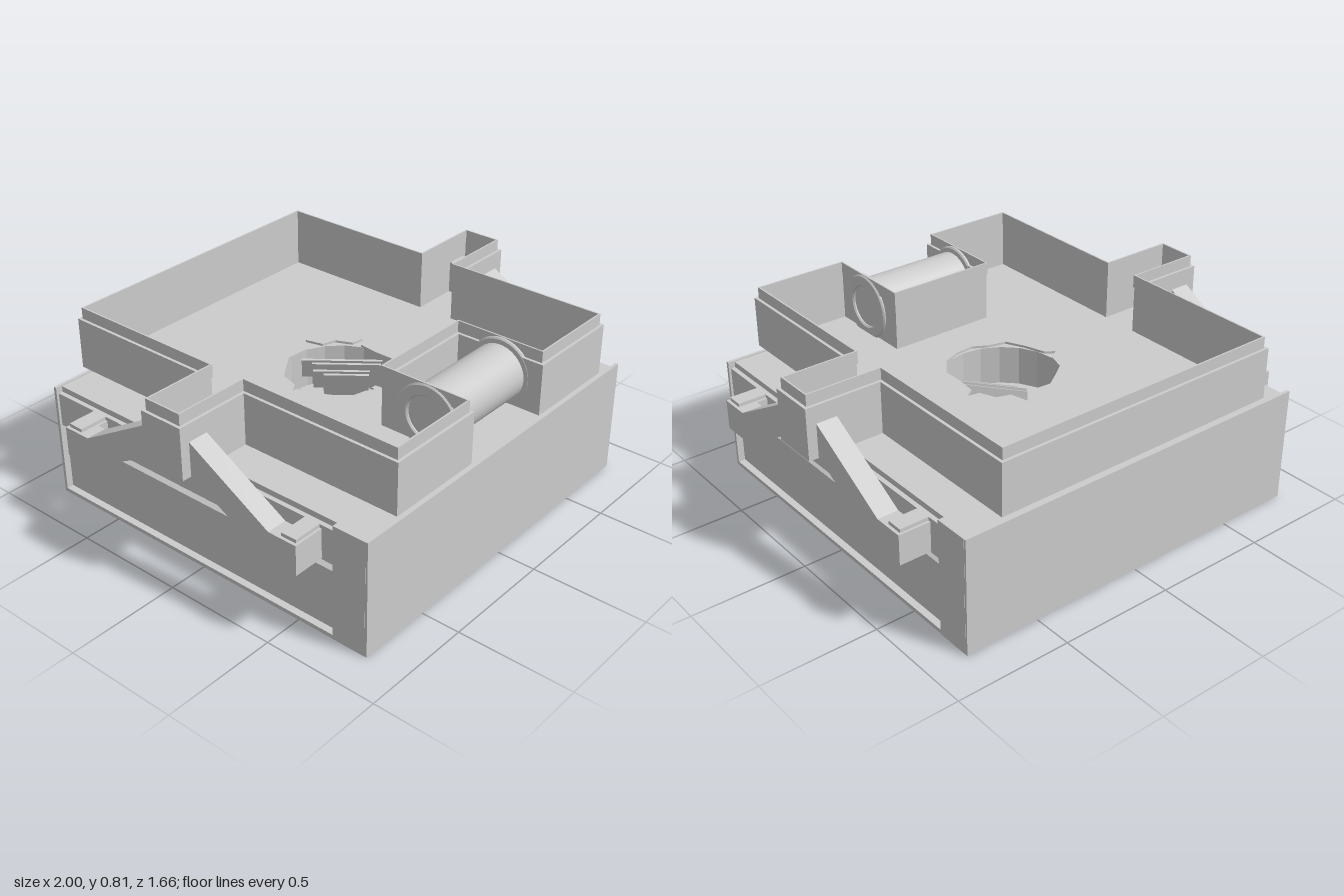
import * as THREE from 'three';

const material = new THREE.MeshStandardMaterial({ color: 0xcccccc, flatShading: true, side: THREE.DoubleSide });
const smooth = new THREE.MeshStandardMaterial({ color: 0xcccccc, side: THREE.DoubleSide });

function add(parent, name, geometry, x = 0, y = 0, z = 0, mat = material) {
  const mesh = new THREE.Mesh(geometry, mat);
  mesh.name = name;
  mesh.position.set(x, y, z);
  parent.add(mesh);
  return mesh;
}

const box = (parent, name, w, h, d, x, y, z) => add(parent, name, new THREE.BoxGeometry(w, h, d), x, y, z);
const toShape = (pts) => new THREE.Shape(pts.map(([x, y]) => new THREE.Vector2(x, y)));

// Horizontal plate: shape given in x and z, from y0 up to y1
function plate(parent, name, outer, hole, y0, y1) {
  const shape = toShape(outer);
  if (hole) shape.holes.push(toShape(hole));
  const geometry = new THREE.ExtrudeGeometry(shape, { depth: y1 - y0, bevelEnabled: false });
  geometry.rotateX(Math.PI / 2);
  return add(parent, name, geometry, 0, y1, 0);
}

// Tray outline: rectangle with side ears and a front notch, moved inward by i
function trayOutline(i) {
  const half = [[0.225 + i, 0.43 - i], [0.225 + i, 0.83 - i], [0.67 - i, 0.83 - i], [0.67 - i, 0.1 - i],
    [1 - i, 0.1 - i], [1 - i, -0.1 + i], [0.67 - i, -0.1 + i], [0.67 - i, -0.83 + i]];
  return [...half, ...half.map(([x, z]) => [-x, z]).reverse()];
}

// Jagged opening in the tray floor, with three pointed cracks
const brokenHole = [[0.2, 0.12], [0.14, 0.2], [0.06, 0.23], [-0.02, 0.235], [-0.08, 0.2], [-0.16, 0.18],
  [-0.2, 0.1], [-0.23, 0.01], [-0.27, -0.02], [-0.225, -0.05], [-0.2, -0.13], [-0.13, -0.18], [-0.07, -0.22],
  [0.04, -0.21], [0.09, -0.27], [0.11, -0.19], [0.17, -0.17], [0.2, -0.1], [0.255, -0.09], [0.21, -0.06], [0.2, 0.03]];

function buildBase(root) {
  const base = new THREE.Group();
  base.name = 'base';
  root.add(base);

  // Lower block with a sloped square recess underneath
  const profile = [[0, 0.13], [0.42, 0.13], [0.56, 0], [0.82, 0], [0.82, 0.28], [0.79, 0.3], [0, 0.3]];
  const lower = new THREE.LatheGeometry(profile.map(([r, y]) => new THREE.Vector2(r * Math.SQRT2, y)), 4);
  lower.rotateY(Math.PI / 4);
  add(base, 'lowerBlock', lower).scale.x = 0.975;

  // Upper slab with a pit below the broken floor
  const pit = [];
  for (let k = 0; k < 20; k++) {
    const a = (k / 20) * Math.PI * 2;
    pit.push([Math.cos(a) * 0.27, Math.sin(a) * 0.27]);
  }
  const rect = (w, d) => [[-w, -d], [w, -d], [w, d], [-w, d]];
  plate(base, 'slab', rect(0.82, 0.815), pit, 0.33, 0.48);
  plate(base, 'slabTop', rect(0.8, 0.815), pit, 0.48, 0.505);
  add(base, 'hub', new THREE.CylinderGeometry(0.2, 0.2, 0.04, 20), 0, 0.315, 0);

  // Cross-shaped posts joining the block and the slab
  for (const [x, z] of [[0.3, 0], [-0.3, 0], [0, 0.3], [0, -0.3]]) {
    box(base, 'post', 0.12, 0.215, 0.05, x, 0.2275, z);
    box(base, 'post', 0.05, 0.215, 0.12, x, 0.2275, z);
  }

  // End plates, each wrapping round one corner
  for (const turn of [0, Math.PI]) {
    const end = new THREE.Group();
    end.name = 'endPlate';
    end.rotation.y = turn;
    base.add(end);
    box(end, 'plate', 1.66, 0.51, 0.014, 0, 0.255, 0.823);
    box(end, 'cornerReturn', 0.04, 0.51, 0.15, -0.811, 0.255, 0.745);
    box(end, 'bottomLedge', 0.04, 0.018, 1.63, 0.81, 0.009, 0);
  }
}

function buildTray(root) {
  const tray = new THREE.Group();
  tray.name = 'tray';
  root.add(tray);
  plate(tray, 'trayFloor', trayOutline(0.005), brokenHole, 0.536, 0.546);
  plate(tray, 'trayWall', trayOutline(0), trayOutline(0.016), 0.536, 0.76);
  plate(tray, 'trayLip', trayOutline(0.013), trayOutline(0.02), 0.755, 0.81);

  // Splintered strips inside the opening
  const debris = new THREE.Group();
  debris.name = 'splinters';
  debris.position.set(0.07, 0.45, -0.05);
  debris.rotation.y = -0.9;
  tray.add(debris);
  for (let k = 0; k < 4; k++) {
    const strip = box(debris, 'splinter', 0.34 - 0.05 * k, 0.1 + 0.02 * (k % 2), 0.01, 0.02 * (k % 2), 0.02 - 0.012 * k, -0.045 + 0.025 * k);
    strip.rotation.x = 0.3;
  }
}

function buildRoller(root) {
  // Hollow roller in the front notch with a flange at each end
  const roller = new THREE.Group();
  roller.name = 'roller';
  roller.position.set(0, 0.666, 0.632);
  roller.rotation.z = Math.PI / 2;
  root.add(roller);
  add(roller, 'rollerBarrel', new THREE.CylinderGeometry(0.119, 0.119, 0.44, 40, 1, true), 0, 0, 0, smooth);
  add(roller, 'rollerBore', new THREE.CylinderGeometry(0.09, 0.09, 0.49, 40, 1, true), 0, 0, 0, smooth);
  const ring = new THREE.Shape().absarc(0, 0, 0.142, 0, Math.PI * 2);
  ring.holes.push(new THREE.Path().absarc(0, 0, 0.09, 0, Math.PI * 2, true));
  for (const side of [-1, 1]) {
    const flange = new THREE.ExtrudeGeometry(ring, {
      depth: 0.016, bevelThickness: 0.006, bevelSize: 0.006, bevelOffset: -0.006, bevelSegments: 1, curveSegments: 32 });
    flange.translate(0, 0, -0.008);
    flange.rotateX(Math.PI / 2);
    add(roller, 'rollerFlange', flange, 0, side * 0.238, 0, smooth);
  }
}

function buildBrackets(root) {
  // Side arms rising to the ears, tied back to the slab at both ends
  const half = [[0.61, 0.335], [0.61, 0.465], [0.48, 0.465], [0.09, 0.69]];
  const under = [[-0.09, 0.545], [-0.475, 0.335]];
  const profile = toShape([...half, ...half.map(([z, y]) => [-z, y]).reverse(),
    ...under.slice().reverse(), ...under.map(([z, y]) => [-z, y])]);
  const arm = new THREE.ExtrudeGeometry(profile, { depth: 0.09, bevelEnabled: false });
  arm.translate(0, 0, -0.045);
  arm.rotateY(-Math.PI / 2);
  for (const side of [-1, 1]) {
    const bracket = new THREE.Group();
    bracket.name = side > 0 ? 'leftBracket' : 'rightBracket';
    root.add(bracket);
    add(bracket, 'arm', arm, side * 0.913, 0, 0);
    for (const z of [-0.565, 0.565]) {
      box(bracket, 'tie', 0.295, 0.13, 0.09, side * 0.8105, 0.4, z);
      box(bracket, 'tieTop', 0.28, 0.015, 0.07, side * 0.805, 0.4725, z);
    }
  }
}

export function createModel() {
  const root = new THREE.Group();
  root.name = 'tankWithTray';
  buildBase(root);
  buildTray(root);
  buildRoller(root);
  buildBrackets(root);
  return root;
}
